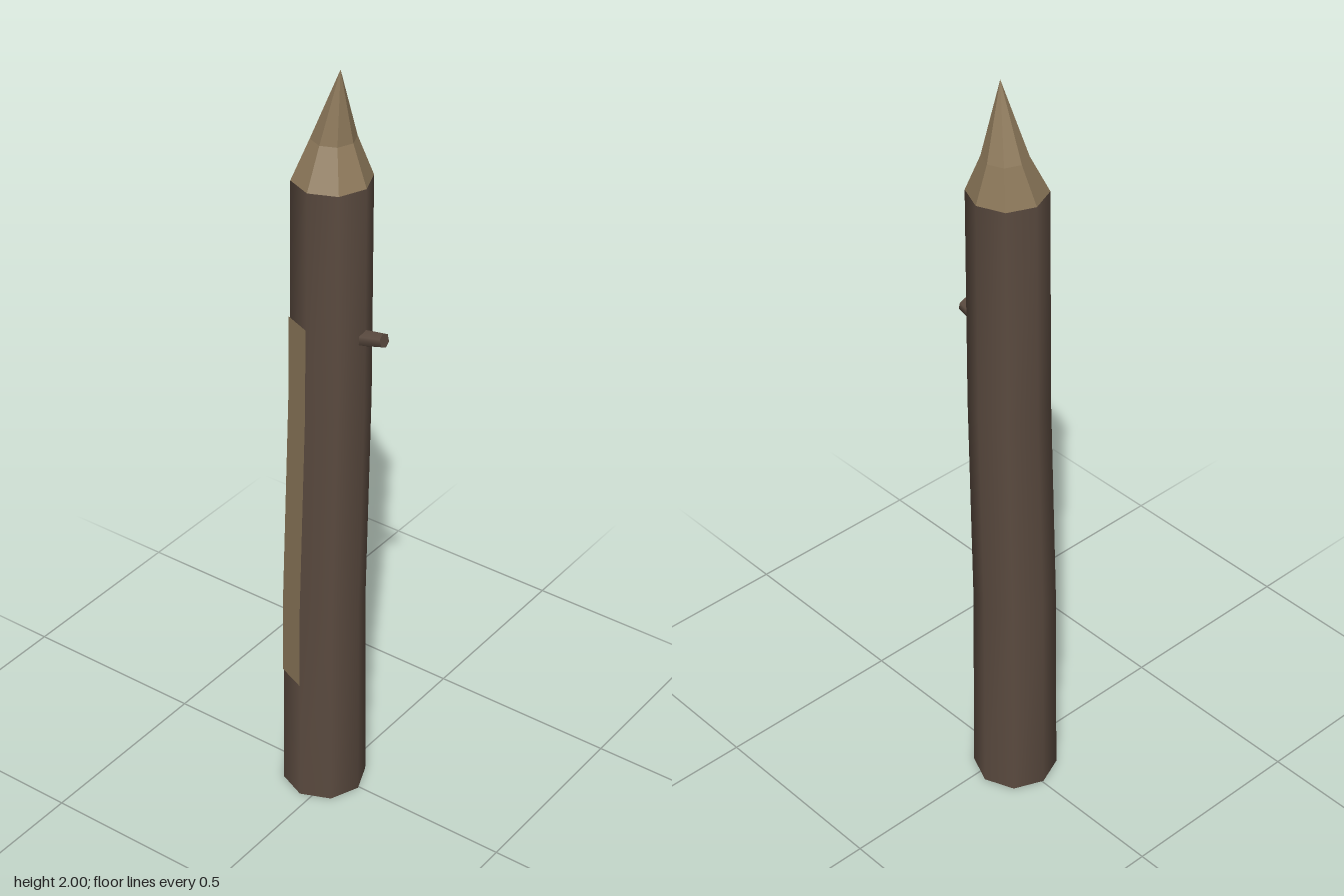
import * as THREE from 'three';

const SIDES = 8;
// Cross-sections as [y, centre x, centre z, radius]
const POST = [
  [0, -0.004, -0.030, 0.107],
  [0.58, 0, -0.030, 0.102],
  [1.15, 0.005, -0.016, 0.098],
  [1.73, 0.009, -0.014, 0.095],
];
const TIP = [POST[3], [1.825, 0.020, -0.018, 0.054], [2, 0.01, 0.008, 0]];

// Corner i of a ring
function corner([y, cx, cz, r], i) {
  const a = (i / SIDES) * Math.PI * 2;
  return [cx + r * Math.cos(a), y, cz + r * Math.sin(a)];
}

// Interpolated post ring at height y
function ringAt(y) {
  let k = 0;
  while (k < POST.length - 2 && y > POST[k + 1][0]) k++;
  const t = (y - POST[k][0]) / (POST[k + 1][0] - POST[k][0]);
  return POST[k].map((v, j) => THREE.MathUtils.lerp(v, POST[k + 1][j], t));
}

// Joins rings with quads over corners first..first+count
function skin(rings, first = 0, count = SIDES) {
  const closed = count === SIDES;
  const n = closed ? SIDES : count + 1;
  const pos = [];
  const index = [];
  for (const ring of rings) {
    for (let i = 0; i < n; i++) pos.push(...corner(ring, first + i));
  }
  for (let j = 0; j < rings.length - 1; j++) {
    for (let i = 0; i < count; i++) {
      const a = j * n + i;
      const b = j * n + ((i + 1) % n);
      index.push(a, a + n, b);
      if (rings[j + 1][3] > 0) index.push(b, a + n, b + n);
    }
  }
  const g = new THREE.BufferGeometry();
  g.setAttribute('position', new THREE.Float32BufferAttribute(pos, 3));
  g.setIndex(index);
  g.computeVertexNormals();
  return g;
}

export function createModel() {
  const bark = new THREE.MeshStandardMaterial({ color: 0x5a4a3f });
  bark.name = 'bark';
  const wood = new THREE.MeshStandardMaterial({ color: 0x8b7759 });
  wood.name = 'bareWood';

  const group = new THREE.Group();
  group.name = 'sharpenedPost';
  const add = (name, geometry, material) => {
    const mesh = new THREE.Mesh(geometry, material);
    mesh.name = name;
    group.add(mesh);
    return mesh;
  };

  // Slightly bent trunk
  add('trunk', skin(POST), bark);

  // Cut underside
  const [, bx, bz, br] = POST[0];
  const cap = new THREE.CircleGeometry(br, SIDES);
  cap.rotateX(Math.PI / 2);
  cap.translate(bx, 0, bz);
  add('cutBase', cap, wood);

  // Faceted carved point
  const tip = skin(TIP).toNonIndexed();
  tip.computeVertexNormals();
  add('carvedTip', tip, wood);

  // Strip of missing bark on one back-left face, just proud of the trunk
  const strip = [0.35, 0.58, 1.15, 1.38].map((y) => {
    const [h, x, z, r] = ringAt(y);
    return [h, x, z, r + 0.003];
  });
  add('strippedBark', skin(strip, 4, 1), wood);

  // Short broken branch on the front
  const from = new THREE.Vector3(0.009, 1.338, 0.05);
  const to = new THREE.Vector3(0.009, 1.357, 0.134);
  const dir = to.clone().sub(from);
  const stub = add('branchStub', new THREE.CylinderGeometry(0.018, 0.023, dir.length(), 6), bark);
  stub.position.copy(from).add(to).multiplyScalar(0.5);
  stub.quaternion.setFromUnitVectors(new THREE.Vector3(0, 1, 0), dir.normalize());

  return group;
}
